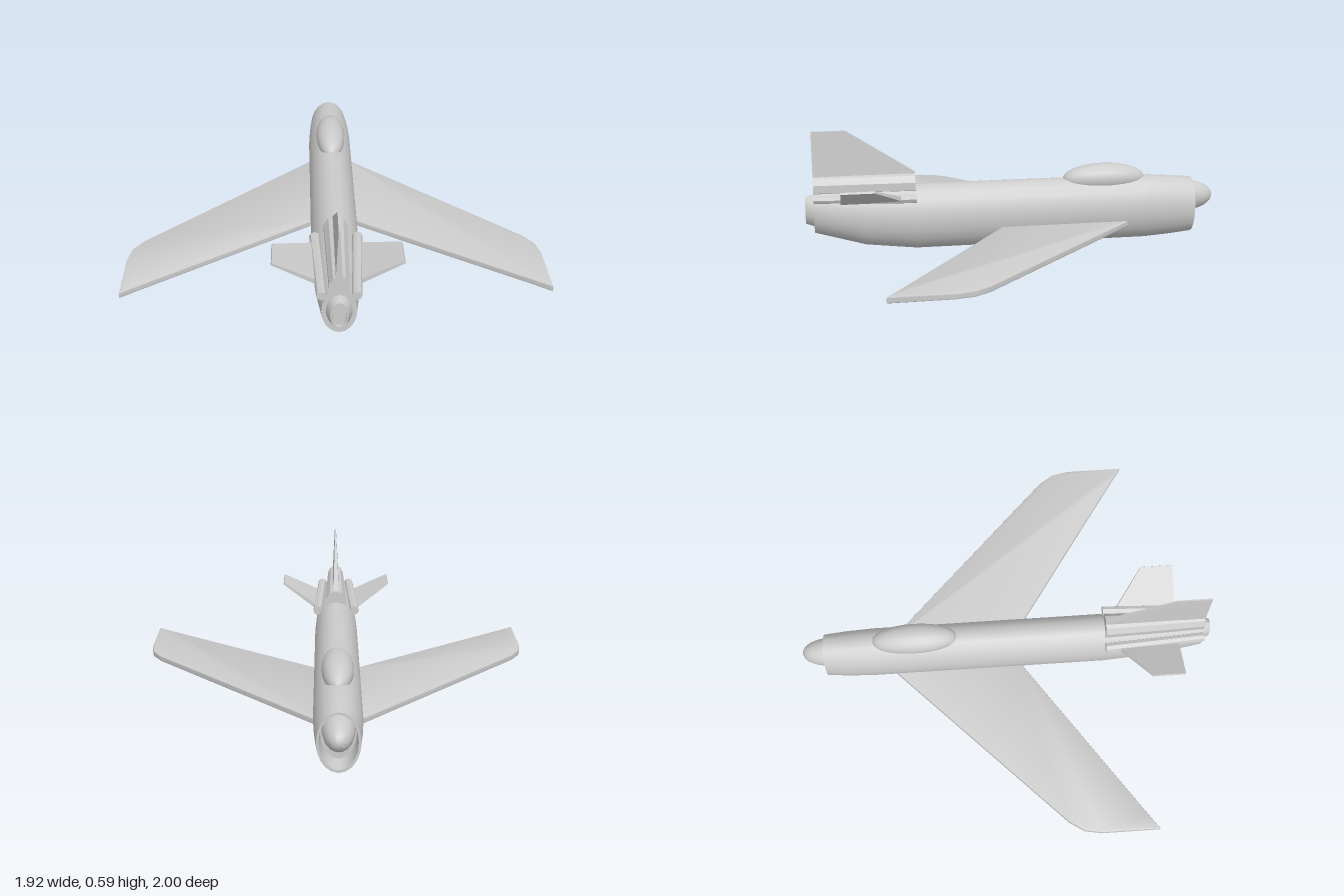
import * as THREE from 'three';
import { toCreasedNormals } from 'three/addons/utils/BufferGeometryUtils.js';

const material = new THREE.MeshStandardMaterial({ color: 0xcccccc, side: THREE.DoubleSide });

function part(name, geometry, crease = 0.6) {
  const mesh = new THREE.Mesh(toCreasedNormals(geometry, crease), material);
  mesh.name = name;
  return mesh;
}

// Skin through oval sections [z, yBottom, yTop, halfWidth, xCentre], ordered along +z
function loft(sections, sides) {
  const pos = [], index = [];
  sections.forEach(([z, y0, y1, hw, cx = 0], i) => {
    for (let j = 0; j < sides; j++) {
      const a = (j / sides) * Math.PI * 2 + Math.PI / 2;
      pos.push(cx + hw * Math.cos(a), (y0 + y1) / 2 + ((y1 - y0) / 2) * Math.sin(a), z);
      if (i === 0) continue;
      const k = (j + 1) % sides, p = (i - 1) * sides, q = i * sides;
      index.push(p + j, p + k, q + k, p + j, q + k, q + j);
    }
  });
  const g = new THREE.BufferGeometry();
  g.setAttribute('position', new THREE.Float32BufferAttribute(pos, 3));
  g.setIndex(index);
  g.computeVertexNormals();
  return g;
}

// Close both ends of a loft with a point section
function capped(sections) {
  const point = ([z, y0, y1, , cx = 0]) => [z, (y0 + y1) / 2, (y0 + y1) / 2, 0, cx];
  return [point(sections[0]), ...sections, point(sections[sections.length - 1])];
}

// Flat panel from an outline of [span, z]; thickness runs from 1 at the root to `taper` at the tip
function panel(outline, side, thickness, taper, bevel) {
  const shape = new THREE.Shape(outline.map(([x, z]) => new THREE.Vector2(side * x, z)));
  const g = new THREE.ExtrudeGeometry(shape, {
    depth: thickness - 2 * bevel, bevelEnabled: bevel > 0, bevelSize: bevel,
    bevelThickness: bevel, bevelOffset: -bevel, bevelSegments: 2,
  });
  g.translate(0, 0, -(thickness - 2 * bevel) / 2);
  g.rotateX(Math.PI / 2);
  const spans = outline.map((p) => p[0]);
  const root = Math.min(...spans), tip = Math.max(...spans), p = g.attributes.position;
  for (let i = 0; i < p.count; i++) {
    const t = (Math.abs(p.getX(i)) - root) / (tip - root);
    p.setY(i, p.getY(i) * (1 + (taper - 1) * t));
  }
  return g;
}

export function createModel() {
  const model = new THREE.Group();
  model.name = 'jetAircraft';

  // Body, starting inside the open nose intake and wrapping round its lip
  model.add(part('fuselage', loft(capped([
    [-0.8, 0.045, 0.28, 0.078],
    [-0.89, 0.035, 0.29, 0.084],
    [-0.89, 0.022, 0.3, 0.095],
    [-0.78, 0.011, 0.31, 0.105],
    [-0.65, 0.002, 0.32, 0.11],
    [0.48, 0.002, 0.32, 0.11],
    [0.72, 0.03, 0.32, 0.1],
    [0.96, 0.1, 0.315, 0.075],
  ]), 20)));

  // Tail pipe with a shallow recess
  model.add(part('exhaustNozzle', loft(capped([
    [0.94, 0.125, 0.29, 0.058],
    [0.96, 0.13, 0.288, 0.056],
    [1.0, 0.145, 0.275, 0.038],
    [1.0, 0.155, 0.265, 0.031],
    [0.99, 0.157, 0.263, 0.03],
  ]), 14)));

  // Rounded intake cone
  const cone = [];
  for (let i = 0; i <= 10; i++) {
    const t = i / 10, r = Math.pow(Math.sin((t * Math.PI) / 2), 0.85);
    cone.push([-1 + 0.18 * t * t + 0.02 * t, 0.205 - 0.08 * r, 0.205 + 0.08 * r, 0.074 * r]);
  }
  model.add(part('intakeCone', loft(cone, 18)));

  // Teardrop canopy, fuller toward the rear
  const canopy = [];
  for (let i = 0; i <= 14; i++) {
    const t = i / 14, r = Math.sin(Math.PI * Math.pow(t, 0.85));
    const w = Math.max(r, 0), z = -0.445 - 0.205 * Math.cos(Math.PI * t);
    const s = Math.pow(Math.max(Math.sin(Math.PI * t), 0), 0.9);
    canopy.push([z, 0.305 - 0.06 * s, 0.305 + 0.08 * s, 0.075 * (0.7 * s + 0.3 * w) * (0.9 + 0.15 * t)]);
  }
  model.add(part('canopy', loft(canopy, 18), 0.9));

  // Tail fin on its spine fairing
  model.add(part('finFairing', loft(capped([
    [0.48, 0.26, 0.38, 0.057],
    [0.96, 0.26, 0.38, 0.044],
  ]), 10), 0.3));
  const fin = panel([[0.34, 0.48], [0.38, 0.48], [0.59, 0.8], [0.59, 0.96], [0.34, 0.96]], 1, 0.032, 0.2, 0);
  model.add(part('tailFin', fin.rotateZ(Math.PI / 2), 0.3));

  for (const side of [1, -1]) {
    const label = side > 0 ? 'left' : 'right';

    // Swept wing with a clipped tip
    const wing = part(label + 'Wing', panel([
      [0.06, -0.59], [0.11, -0.54], [0.9, 0.24], [0.945, 0.31], [0.96, 0.39],
      [0.96, 0.67], [0.89, 0.62], [0.11, 0.08], [0.06, 0.047],
    ], side, 0.03, 1, 0.007));
    wing.position.y = 0.1;
    model.add(wing);

    // Tailplane and the slim fairing it grows from
    model.add(part(label + 'TailplaneFairing', loft(capped([
      [0.48, 0.25, 0.298, 0.024, side * 0.096],
      [0.96, 0.262, 0.302, 0.022, side * 0.073],
    ]), 8), 0.3));
    const tailplane = part(label + 'Tailplane', panel([
      [0, 0.53], [0.025, 0.55], [0.215, 0.68], [0.215, 0.835], [0, 0.835],
    ], side, 0.022, 0.45, 0), 0.3);
    tailplane.rotation.z = side * 0.46;
    tailplane.position.set(side * 0.088, 0.266, 0);
    model.add(tailplane);
  }
  return model;
}
